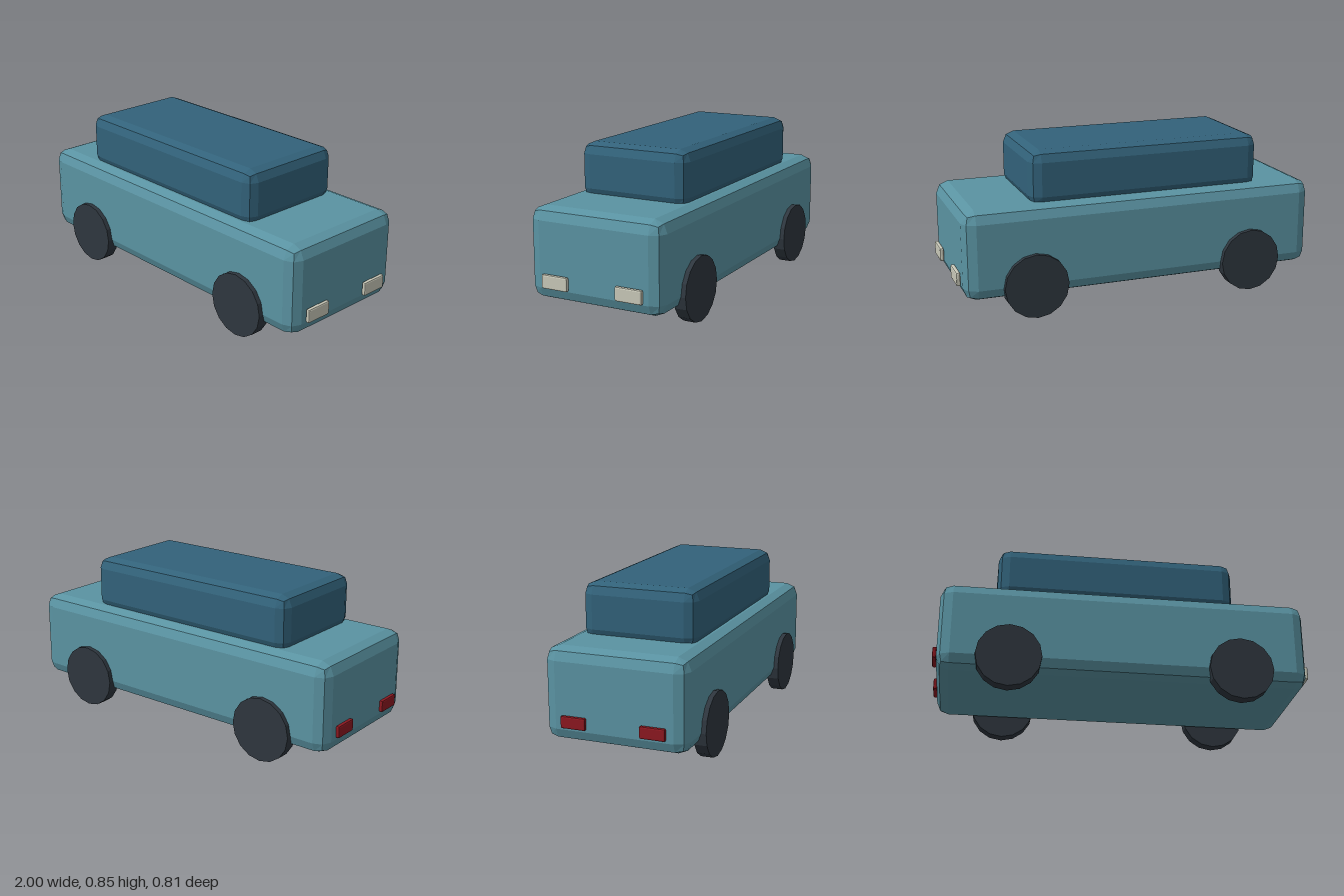
import * as THREE from 'three';
import { RoundedBoxGeometry } from 'three/addons/geometries/RoundedBoxGeometry.js';

const paint = (color) => new THREE.MeshStandardMaterial({ color, flatShading: true });

export function createModel() {
  const car = new THREE.Group();
  car.name = 'car';

  const bodyPaint = paint(0x5a93a2);
  const cabinPaint = paint(0x32627a);
  const tyreRubber = paint(0x2e363e);
  const lampWhite = paint(0xc8c8b8);
  const lampRed = paint(0x8c1820);

  const add = (name, geometry, material, x, y, z) => {
    const mesh = new THREE.Mesh(geometry, material);
    mesh.name = name;
    mesh.position.set(x, y, z);
    car.add(mesh);
  };

  // Lower body and cabin, each with a two-facet bevel
  add('body', new RoundedBoxGeometry(1.95, 0.48, 0.756, 1, 0.067), bodyPaint, -0.003, 0.347, 0);
  add('cabin', new RoundedBoxGeometry(1.285, 0.3, 0.616, 1, 0.06), cabinPaint, -0.041, 0.703, 0);

  // Wheels, standing proud of the body sides
  const wheel = new THREE.CylinderGeometry(0.171, 0.171, 0.066, 16).rotateX(Math.PI / 2);
  // Lamps: the nose points to +x, the tail to -x
  const headlight = new RoundedBoxGeometry(0.022, 0.074, 0.15, 1, 0.008);
  const taillight = new RoundedBoxGeometry(0.022, 0.064, 0.134, 1, 0.008);

  for (const [side, s] of [['Front', 1], ['Back', -1]]) {
    add('noseWheel' + side, wheel, tyreRubber, 0.604, 0.171, s * 0.37);
    add('tailWheel' + side, wheel, tyreRubber, -0.611, 0.171, s * 0.37);
    add('headlight' + side, headlight, lampWhite, 0.987, 0.217, s * 0.211);
    add('taillight' + side, taillight, lampRed, -0.989, 0.219, s * 0.209);
  }
  return car;
}
